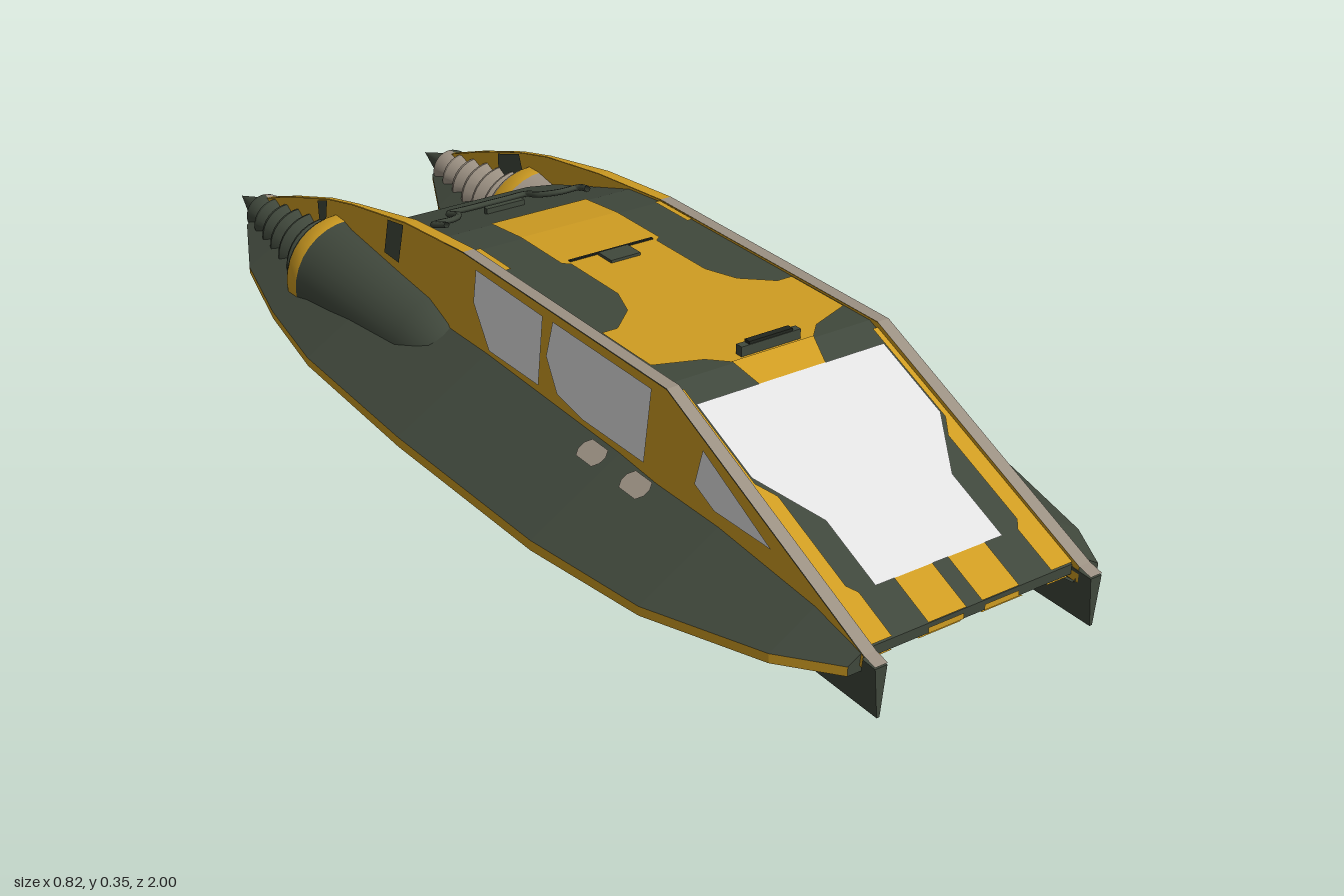
import * as THREE from 'three';
import { toCreasedNormals } from 'three/addons/utils/BufferGeometryUtils.js';

const paint = (name, color) => {
  const m = new THREE.MeshStandardMaterial({ color, side: THREE.DoubleSide });
  m.name = name;
  return m;
};

export function createModel() {
  const model = new THREE.Group();
  const yellow = paint('yellow', 0xd09d22), green = paint('darkGreen', 0x40483c);
  const tan = paint('tan', 0x9c9183), glass = paint('glass', 0xe2e2e2), black = paint('black', 0x22261f);

  const add = (parent, name, geo, mat) => {
    const m = new THREE.Mesh(geo, mat);
    m.name = name;
    parent.add(m);
    return m;
  };
  // Flat-shaded skin between cross-sections of equal length
  const loft = (rings, closed = false, caps = false) => {
    const pos = [], n = rings[0].length;
    const quad = (a, b, c, d) => pos.push(...a, ...b, ...c, ...a, ...c, ...d);
    for (let i = 0; i < rings.length - 1; i++)
      for (let j = 0; j < (closed ? n : n - 1); j++) {
        const k = (j + 1) % n;
        quad(rings[i][j], rings[i][k], rings[i + 1][k], rings[i + 1][j]);
      }
    if (caps) for (const r of [rings[0].slice().reverse(), rings[rings.length - 1]])
      for (let j = 1; j < n - 1; j++) pos.push(...r[0], ...r[j], ...r[j + 1]);
    const g = new THREE.BufferGeometry();
    g.setAttribute('position', new THREE.Float32BufferAttribute(pos, 3));
    g.computeVertexNormals();
    return g;
  };
  // Thin painted panel: a flat outline laid onto a surface by a rule
  const panel = (parent, name, pts, mat, rule) => {
    const g = new THREE.ShapeGeometry(new THREE.Shape(pts.map(([a, b]) => new THREE.Vector2(a, b))));
    const p = g.attributes.position;
    for (let i = 0; i < p.count; i++) p.setXYZ(i, ...rule(p.getX(i), p.getY(i)));
    g.computeVertexNormals();
    add(parent, name, g, mat);
  };
  const mirrored = (pts) => [...pts, ...pts.map(([x, z]) => [-x, z]).reverse()];
  const box = (a, b, c, d) => [[a, c], [b, c], [b, d], [a, d]];
  // Height at z along a profile of [z, y] running front to back
  const heightAt = (profile, z) => {
    let i = 0;
    while (i < profile.length - 2 && z < profile[i + 1][0]) i++;
    const [a, b] = [profile[i], profile[i + 1]];
    return b[1] + (a[1] - b[1]) * (z - b[0]) / (a[0] - b[0]);
  };

  // Central hull: z, top, bottom, half width
  const hull = [[0.96, 0.115, 0.098, 0.195], [0.6, 0.27, 0.058, 0.195], [0.48, 0.322, 0.055, 0.195],
    [-0.1, 0.322, 0.055, 0.195], [-0.2, 0.312, 0.055, 0.195], [-0.44, 0.24, 0.055, 0.19], [-0.49, 0.225, 0.055, 0.155]];
  add(model, 'hull', loft(hull.map(([z, t, b, w]) => [[-w, b, z], [w, b, z], [w, t, z], [-w, t, z]]), true, true), green);
  const onRoof = (x, z) => [x, heightAt(hull, z) + 0.003, z];
  const onNose = (x, z) => [x, 0.322 - (z - 0.48) * 0.4313 + 0.004, z];
  const onBelly = (x, z) => [x, 0.052, z];
  const onChin = (x, z) => [x, 0.054 + (z - 0.6) * 0.1111, z];

  // Roof camouflage
  panel(model, 'roofPaint', mirrored([[0.1, -0.1], [0.1, 0.03], [0.088, 0.04], [0.088, 0.18], [0.11, 0.24],
    [0.16, 0.285], [0.19, 0.285], [0.19, 0.42], [0.11, 0.45], [0.08, 0.48]]), yellow, onRoof);
  panel(model, 'roofPaintRear', box(-0.1, 0.1, -0.2, -0.1), yellow, onRoof);

  // Windshield, nose, chin and belly camouflage
  panel(model, 'windshield', mirrored([[0.183, 0.53], [0.183, 0.67], [0.122, 0.77], [0.122, 0.885]]), glass, onNose);
  panel(model, 'browPaint', mirrored([[0.08, 0.48], [0.065, 0.53]]), yellow, onNose);
  panel(model, 'sternPaint', box(-0.06, 0.06, 0.16, 0.21), yellow, (x, y) => [x, y, -0.493]);
  for (const s of [1, -1]) {
    panel(model, 'nosePaint', box(s * 0.015, s * 0.087, 0.885, 0.962), yellow, onNose);
    panel(model, 'noseSidePaint', [[0.185, 0.5], [0.195, 0.5], [0.195, 0.96], [0.153, 0.96], [0.153, 0.885],
      [0.165, 0.87], [0.165, 0.71], [0.185, 0.68]].map(([x, z]) => [s * x, z]), yellow, onNose);
    panel(model, 'roofEdgePaint', box(s * 0.182, s * 0.193, -0.1, 0.0), yellow, onRoof);
    panel(model, 'chinPaint', [[0.02, 0.958], [0.1, 0.958], [0.075, 0.7], [0.03, 0.65]].map(([x, z]) => [s * x, z]), yellow, onChin);
    panel(model, 'chinSidePaint', box(s * 0.15, s * 0.19, 0.7, 0.958), yellow, onChin);
    panel(model, 'noseTipPaint', box(s * 0.02, s * 0.087, 0.1, 0.11), yellow, (x, y) => [x, y, 0.963]);
  }
  panel(model, 'bellyPaint', mirrored([[0.08, -0.487], [0.08, 0.0], [0.12, 0.06], [0.19, 0.1], [0.19, 0.3],
    [0.13, 0.27], [0.06, 0.2]]), yellow, onBelly);

  // Roof fittings
  add(model, 'roofHatch', new THREE.BoxGeometry(0.06, 0.008, 0.04), green).position.set(0, 0.326, 0.055);
  add(model, 'hatchRim', new THREE.BoxGeometry(0.17, 0.003, 0.005), black).position.set(0, 0.326, 0.03);
  add(model, 'sensorBar', new THREE.BoxGeometry(0.116, 0.02, 0.014), green).position.set(0, 0.332, 0.468);
  add(model, 'sensorTop', new THREE.BoxGeometry(0.085, 0.005, 0.012), black).position.set(0, 0.3445, 0.468);
  add(model, 'rearVent', new THREE.BoxGeometry(0.08, 0.012, 0.012), green).position.set(0, heightAt(hull, -0.32) + 0.006, -0.32);
  const pipe = mirrored([[0.15, -0.27], [0.155, -0.31], [0.115, -0.31], [0.085, -0.34], [0.085, -0.38], [0.04, -0.38]]);
  const pipePath = new THREE.CatmullRomCurve3(pipe.map(([x, z]) => new THREE.Vector3(x, heightAt(hull, z) + 0.008, z)));
  add(model, 'deckPipe', new THREE.TubeGeometry(pipePath, 50, 0.006, 6), green);

  // One side: wall, wings, keel and drill, mirrored for the other
  const wall = [[0.975, 0.118], [0.5, 0.326], [-0.1, 0.326], [-0.3, 0.308], [-0.5, 0.272], [-0.6, 0.248], [-0.75, 0.2], [-0.9, 0.145]];
  const outerX = (z, y) => 0.217 + (heightAt(wall, z) - y) * 0.11;
  const innerX = (z) => (z < -0.4 ? 0.208 : 0.195);
  const makeSide = () => {
    const g = new THREE.Group();

    // Side wall leaning outward below a narrow rail
    add(g, 'wallOuter', loft(wall.map(([z, t]) => [[0.217, t, z], [outerX(z, 0.1), 0.1, z]])), yellow);
    add(g, 'wallInner', loft(wall.map(([z, t]) => [[innerX(z), t, z], [innerX(z), 0.09, z]])), yellow);
    const rail = ([z, t]) => [[innerX(z) - 0.001, t + 0.001, z], [0.217, t + 0.001, z]];
    add(g, 'rail', loft([[1, 0.112], ...wall.slice(0, 3)].map(rail)), tan);
    add(g, 'railRear', loft(wall.slice(2).map(rail)), yellow);

    // Side windows and camouflage
    const onWall = (z, y) => [outerX(z, y) + 0.003, y, z];
    const onInner = (z, y) => [innerX(z) - 0.003, y, z];
    for (const pts of [
      [[0.77, 0.186], [0.6, 0.27], [0.59, 0.21], [0.64, 0.188]],
      [[0.467, 0.314], [0.19, 0.314], [0.18, 0.25], [0.22, 0.2], [0.3, 0.188], [0.467, 0.19]],
      [[0.16, 0.312], [-0.05, 0.314], [-0.05, 0.255], [0.01, 0.19], [0.165, 0.192]]]) panel(g, 'sideWindow', pts, glass, onWall);
    for (const pts of [
      [[-0.302, 0.304], [-0.36, 0.294], [-0.365, 0.23], [-0.31, 0.23]],
      [[-0.6, 0.246], [-0.64, 0.232], [-0.63, 0.2], [-0.6, 0.2]]]) panel(g, 'wallPaint', pts, green, onWall);
    panel(g, 'innerPaint', [[-0.6, 0.246], [-0.68, 0.22], [-0.68, 0.17], [-0.57, 0.17]], green, onInner);

    // Wings: z, tip x, tip bottom, tip top, root height
    const wing = (name, stations, rootX, bottomX) => {
      const w = new THREE.Group();
      w.name = name;
      g.add(w);
      add(w, 'wingTop', loft(stations.map(([z, x, , t, r]) => [[rootX(z, r), r, z], [x, t, z]])), green);
      add(w, 'wingBottom', loft(stations.map(([z, x, b]) => [[x, b, z], [bottomX, b, z]])), green);
      add(w, 'wingEdge', loft(stations.map(([z, x, b, t]) => [[x, t, z], [x, b, z]])), yellow);
      for (const [z, x, b, t, r] of [stations[0], stations[stations.length - 1]])
        add(w, 'wingEnd', loft([[[rootX(z, r), r, z], [x, t, z]], [[bottomX, b, z], [x, b, z]]]), green);
    };
    wing('outerWing', [[0.97, 0.24, 0.09, 0.106, 0.12], [0.87, 0.3, 0.078, 0.094, 0.143], [0.65, 0.37, 0.062, 0.078, 0.165],
      [0.4, 0.4, 0.055, 0.073, 0.175], [0, 0.41, 0.055, 0.073, 0.18], [-0.35, 0.4, 0.055, 0.071, 0.175],
      [-0.55, 0.37, 0.06, 0.074, 0.165], [-0.73, 0.33, 0.075, 0.087, 0.15], [-0.88, 0.262, 0.095, 0.105, 0.135]], outerX, 0.19);
    wing('innerWing', [[-0.47, 0.05, 0.057, 0.071, 0.165], [-0.6, 0.07, 0.062, 0.076, 0.16],
      [-0.78, 0.12, 0.08, 0.091, 0.145], [-0.9, 0.175, 0.097, 0.107, 0.13]], () => 0.209, 0.215);
    for (const z of [0.36, 0.48])
      panel(g, 'wingLamp', [[0.243, z - 0.022], [0.253, z - 0.03], [0.265, z - 0.03], [0.275, z - 0.022],
        [0.275, z + 0.022], [0.265, z + 0.03], [0.253, z + 0.03], [0.243, z + 0.022]], tan,
      (x, y) => [x, 0.181 - (x - 0.232) * 0.595, y]);

    // Keel runner, narrowing downward
    const keel = [[1, 0.11], [0.95, 0.112], [0.88, 0.095], [0.6, 0.06], [-0.08, 0.058]];
    add(g, 'keel', loft(keel.map(([z, t]) => [[0.203, 0.025, z], [0.208, 0.025, z],
      [0.208 + (t - 0.025) * 0.1, t, z], [0.203 - (t - 0.025) * 0.1, t, z]]), true, true), green);

    // Drill engine: radius and distance behind the centre; outer half green, inner half tan
    const drill = new THREE.Group();
    drill.name = 'drill';
    drill.position.set(0.215, 0.115, 0);
    g.add(drill);
    const spin = (name, pts, mat, start, length) => add(drill, name, toCreasedNormals(
      new THREE.LatheGeometry(pts.map(([r, d]) => new THREE.Vector2(r, d)), length > 4 ? 32 : 16, start, length)
        .rotateX(-Math.PI / 2), 0.5), mat);
    const screw = [[0.113, 0.57], [0.105, 0.585], [0.07, 0.586]];
    for (let i = 0; i < 6; i++) {
      const d = 0.588 + i * 0.052, r = 0.086 - i * 0.0088;
      screw.push([r * 0.78, d], [r, d + 0.036], [r * 0.95, d + 0.046]);
    }
    screw.push([0.03, 0.9]);
    const pod = [[0, 0.09], [0.045, 0.1], [0.07, 0.13], [0.09, 0.2], [0.109, 0.5], [0.1145, 0.53]];
    for (const [mat, start] of [[green, 0], [tan, Math.PI]]) {
      spin('enginePod', pod, mat, start, Math.PI);
      spin('drillScrew', screw, mat, start, Math.PI);
    }
    spin('drillTip', [[0.03, 0.9], [0, 1]], green, 0, Math.PI * 2);
    spin('engineBand', [[0.1145, 0.53], [0.115, 0.535], [0.115, 0.565], [0.113, 0.57]], yellow, 0, Math.PI * 2);
    return g;
  };
  const left = makeSide(), right = makeSide();
  left.name = 'leftSide';
  right.name = 'rightSide';
  right.scale.x = -1;
  model.add(left, right);
  return model;
}
